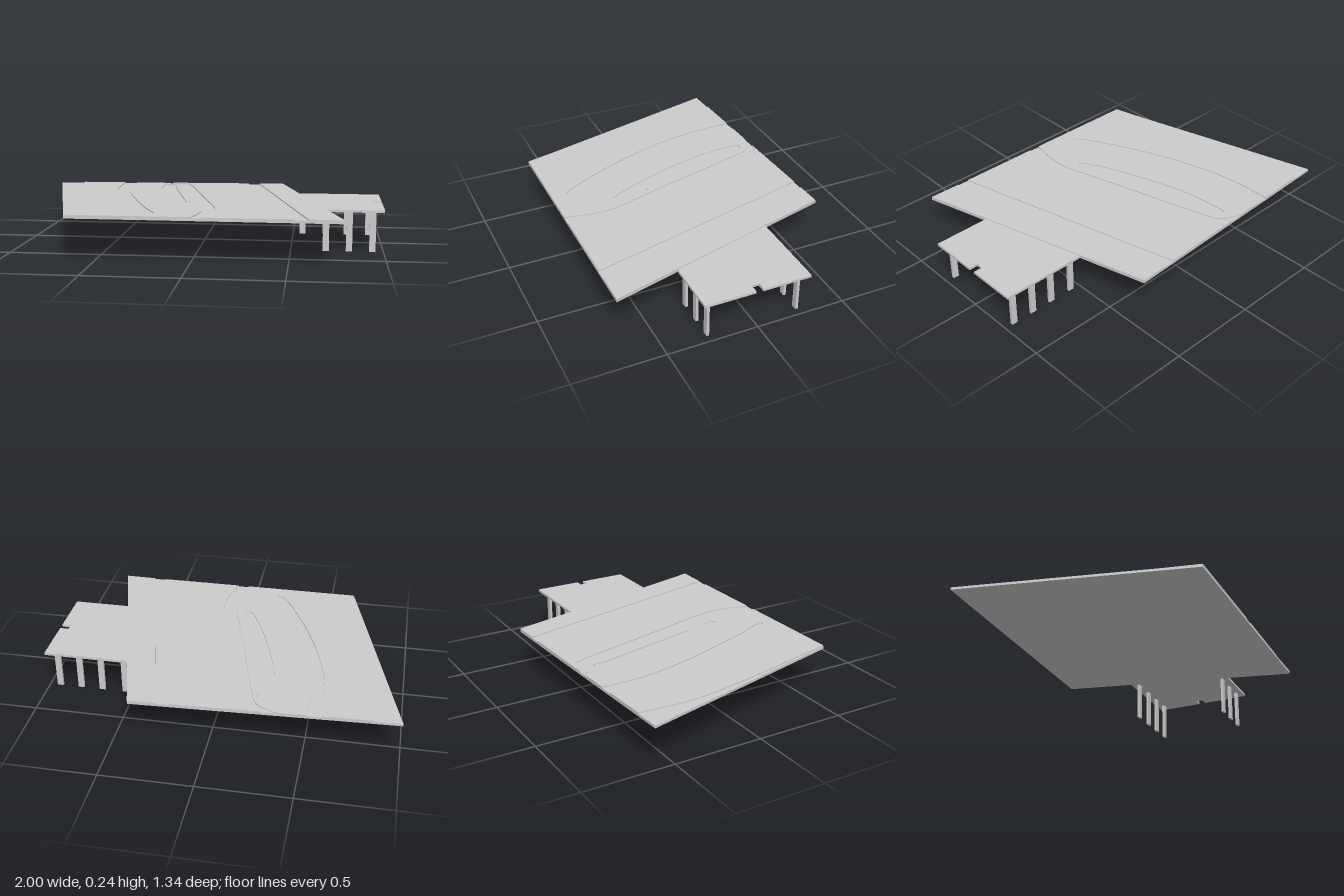
import * as THREE from 'three';

const material = new THREE.MeshStandardMaterial({ color: 0xcccccc, flatShading: true });

// Plan outline in [x, z], extruded upwards from y0 to y1
function slab(name, outline, y0, y1, holes = []) {
  const toPoints = (list) => list.map(([x, z]) => new THREE.Vector2(x, -z));
  const shape = new THREE.Shape(toPoints(outline));
  holes.forEach((h) => shape.holes.push(new THREE.Path(toPoints(h))));
  const geometry = new THREE.ExtrudeGeometry(shape, { depth: y1 - y0, bevelEnabled: false });
  geometry.rotateX(-Math.PI / 2);
  geometry.translate(0, y0, 0);
  const mesh = new THREE.Mesh(geometry, material);
  mesh.name = name;
  return mesh;
}

// Smooth plan curve through a few points
function smooth(points, n = 24) {
  const curve = new THREE.SplineCurve(points.map(([x, z]) => new THREE.Vector2(x, z)));
  return curve.getPoints(n).map((p) => [p.x, p.y]);
}

export function createModel() {
  const model = new THREE.Group();
  const bottom = 0.22, floor = 0.234, top = 0.24;
  const backZ = (x) => -0.61 - (x + 1) * 0.0423;
  const back = (x) => [x, backZ(x)];
  const front = (x) => [x, 0.667];

  // Base plate with the projecting deck and its edge notch
  model.add(slab('basePlate', [
    [-1, -0.61], [0.42, -0.67], [0.52, -0.295], [1, -0.295], [1, -0.02], [0.95, -0.02],
    [0.95, 0.02], [1, 0.02], [1, 0.3], [0.68, 0.3], [0.78, 0.67], [-0.66, 0.665],
  ], bottom, floor));

  // Western ground: curved bank, a crescent channel open to the back, a hooked basin
  const bank = smooth([[-0.655, 0.665], [-0.74, 0.31], [-0.82, -0.03], [-0.865, -0.32], back(-0.85)]);
  const crescent = smooth([
    back(-0.59), [-0.57, -0.29], [-0.46, 0.11], [-0.27, 0.52], [-0.2, 0.56],
    [-0.29, 0.35], [-0.44, -0.08], [-0.51, -0.4], back(-0.51),
  ], 48);
  const basin = [
    ...smooth([[-0.24, -0.47], [-0.24, -0.53], [-0.28, -0.56], [-0.32, -0.53], [-0.29, -0.24],
      [-0.18, 0.12], [-0.08, 0.34], [-0.04, 0.34]], 32),
    [-0.04, 0.14], [-0.09, 0.14],
  ];
  const channelWest = smooth([back(-0.36), [-0.25, -0.58], [-0.2, -0.45], [-0.08, 0], [0.02, 0.36], [0.03, 0.5], [0.0, 0.667]]);
  model.add(slab('westGround', [...bank, ...crescent, ...channelWest], floor, top, [basin]));

  // Middle ground between the bent channel and the straight lane
  const channelEast = smooth([front(0.06), [0.1, 0.52], [0.09, 0.33], [-0.02, -0.07], [-0.15, -0.55], [-0.19, -0.61], back(-0.28)]);
  model.add(slab('middleGround', [...channelEast, back(0.2), front(0.53)], floor, top));

  // Eastern strip beside the deck
  model.add(slab('eastGround', [back(0.27), [0.42, -0.67], [0.78, 0.67], front(0.6)], floor, top));

  // Flat posts below the deck: four at the back, three at the front
  const post = new THREE.BoxGeometry(0.034, bottom, 0.015);
  for (const [z, xs] of [[-0.25, [0.555, 0.69, 0.815, 0.94]], [0.26, [0.69, 0.815, 0.94]]]) {
    for (const x of xs) {
      const mesh = new THREE.Mesh(post, material);
      mesh.name = z < 0 ? 'backPost' : 'frontPost';
      mesh.position.set(x, bottom / 2, z);
      model.add(mesh);
    }
  }
  return model;
}
